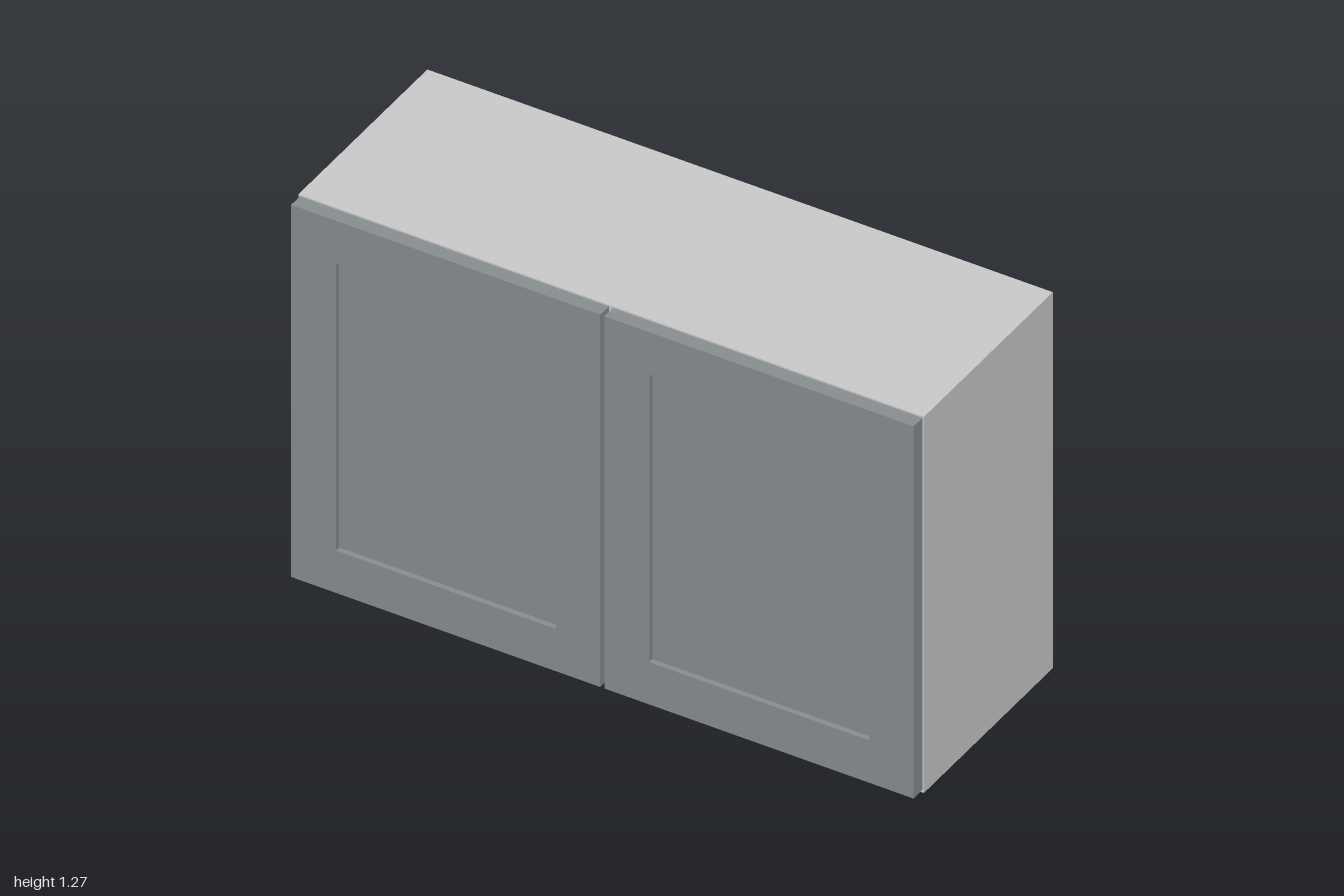
import * as THREE from 'three';

const W = 2, H = 1.27, T = 0.04;          // outer width, height, board thickness
const BACK = -0.363, FRONT = 0.317;       // depth range of the carcass
const DOOR_FRONT = 0.363;

const bodyMat = new THREE.MeshStandardMaterial({ color: 0xcccccc });
const doorMat = new THREE.MeshStandardMaterial({ color: 0x8a8f91 });

// Box given by its minimum and maximum corners
function board(name, min, max, mat) {
  const size = max.map((v, i) => v - min[i]);
  const mesh = new THREE.Mesh(new THREE.BoxGeometry(...size), mat);
  mesh.position.set(...max.map((v, i) => (v + min[i]) / 2));
  mesh.name = name;
  return mesh;
}

function rectangle(target, x0, y0, x1, y1) {
  target.moveTo(x0, y0);
  target.lineTo(x1, y0);
  target.lineTo(x1, y1);
  target.lineTo(x0, y1);
  target.closePath();
  return target;
}

// Framed door with a shallow recessed centre panel
function makeDoor(name, side) {
  const door = new THREE.Group();
  door.name = name;
  const x0 = side > 0 ? 0.007 : -0.995, x1 = side > 0 ? 0.995 : -0.007;
  const y0 = 0.008, y1 = 1.265, rail = 0.143;

  const outline = rectangle(new THREE.Shape(), x0, y0, x1, y1);
  outline.holes.push(rectangle(new THREE.Path(), x0 + rail, y0 + rail, x1 - rail, y1 - rail));
  const frame = new THREE.Mesh(
    new THREE.ExtrudeGeometry(outline, { depth: DOOR_FRONT - FRONT, bevelEnabled: false }), doorMat);
  frame.position.z = FRONT;
  frame.name = 'doorFrame';

  const panel = board('doorPanel',
    [x0 + rail, y0 + rail, FRONT + 0.01],
    [x1 - rail, y1 - rail, DOOR_FRONT - 0.017], doorMat);
  door.add(frame, panel);
  return door;
}

export function createModel() {
  const cabinet = new THREE.Group();
  cabinet.name = 'wallCabinet';
  const inner = W / 2 - T;

  // Sides
  cabinet.add(
    board('leftSide', [inner, 0, BACK], [W / 2, H, FRONT], bodyMat),
    board('rightSide', [-W / 2, 0, BACK], [-inner, H, FRONT], bodyMat));

  // Bottom, top and middle shelf
  cabinet.add(
    board('bottom', [-inner, 0, BACK], [inner, T, FRONT], bodyMat),
    board('top', [-inner, H - T, BACK], [inner, H, FRONT], bodyMat),
    board('shelf', [-inner, 0.62, BACK + T], [inner, 0.62 + T, FRONT], bodyMat));

  // Back panel
  cabinet.add(board('back', [-inner, T, BACK], [inner, H - T, BACK + T], bodyMat));

  // Pair of doors
  cabinet.add(makeDoor('leftDoor', 1), makeDoor('rightDoor', -1));
  return cabinet;
}
